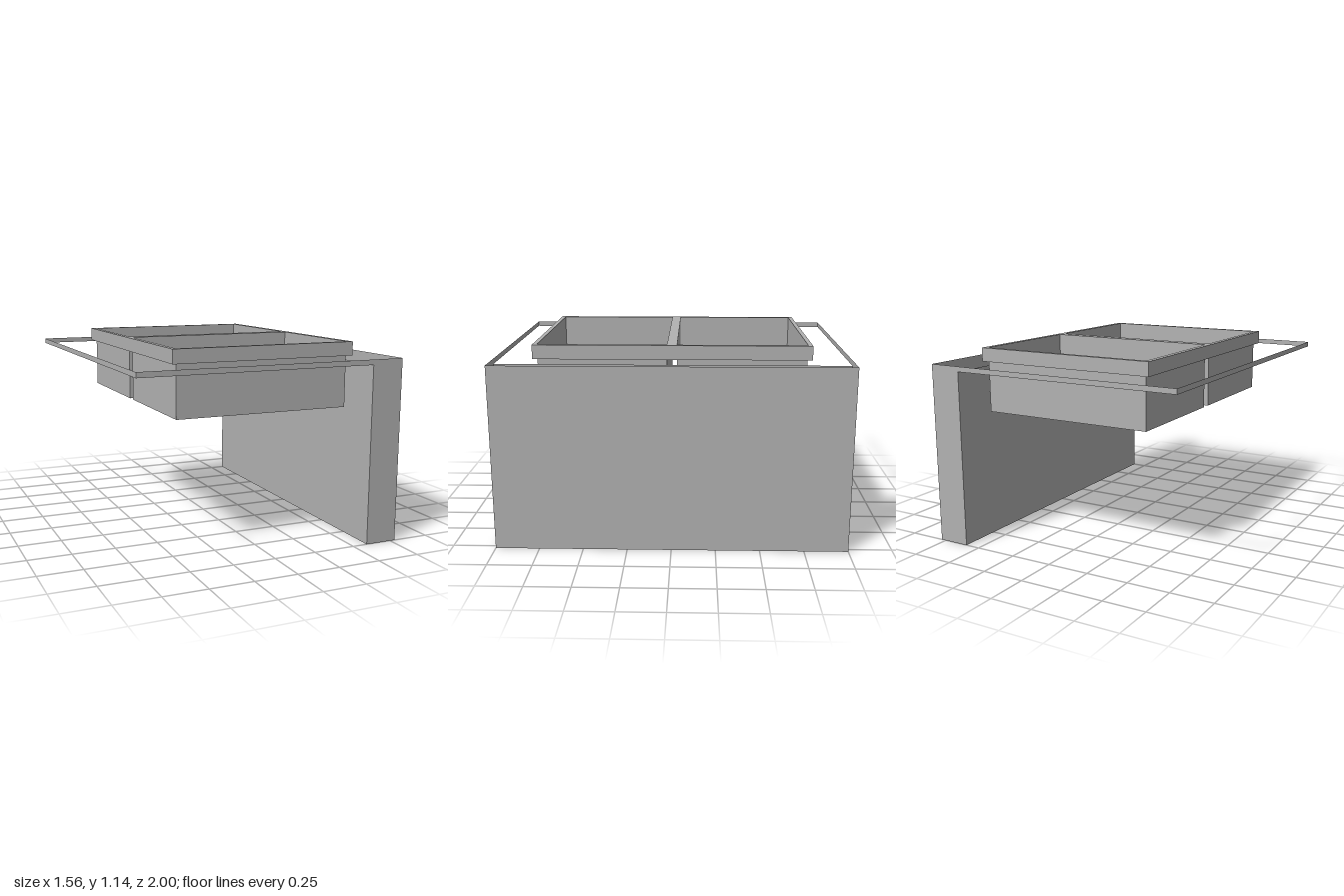
import * as THREE from 'three';

export function createModel() {
  const group = new THREE.Group();
  const grey = new THREE.MeshStandardMaterial({ color: 0xb2b2b2, side: THREE.DoubleSide });
  grey.name = 'plain grey';

  const add = (name, geometry, parent = group) => {
    const mesh = new THREE.Mesh(geometry, grey);
    mesh.name = name;
    parent.add(mesh);
    return mesh;
  };
  // Thin sheet facing x, y or z
  const sheet = (name, axis, w, h, x, y, z, parent = group) => {
    const g = new THREE.PlaneGeometry(w, h);
    if (axis === 'x') g.rotateY(Math.PI / 2);
    if (axis === 'y') g.rotateX(-Math.PI / 2);
    add(name, g, parent).position.set(x, y, z);
  };
  const rectPoints = (x0, y0, x1, y1) => [[x0, y0], [x1, y0], [x1, y1], [x0, y1]]
    .map(([x, y]) => new THREE.Vector2(x, y));

  const X = 0.78, legX = 0.59, top = 1.06, under = 1.03;

  // Open counter shell: L-shaped front and back faces with an upright end leg
  const counter = new THREE.Group();
  counter.name = 'counter';
  group.add(counter);
  const profile = new THREE.Shape([[-X, under], [legX, under], [legX, 0], [X, 0], [X, top], [-X, top]]
    .map(([x, y]) => new THREE.Vector2(x, y)));
  for (const s of [1, -1]) {
    const g = new THREE.ShapeGeometry(profile);
    add(s > 0 ? 'counterFront' : 'counterBack', g, counter).position.z = s;
  }
  sheet('counterEdge', 'x', 2, top - under, -X, (top + under) / 2, 0, counter);
  sheet('legOuterFace', 'x', 2, top, X, top / 2, 0, counter);
  sheet('legInnerFace', 'x', 2, under, legX, under / 2, 0, counter);
  sheet('legBase', 'y', X - legX, 2, (X + legX) / 2, 0, 0, counter);

  // Sink rim with two rectangular openings
  const bx0 = -0.477, bx1 = 0.567, bz0 = 0.028, bz1 = 0.755, floor = 0.76;
  const rim = new THREE.Shape(rectPoints(-0.505, -0.78, 0.595, 0.78));
  for (const [a, b] of [[bz0, bz1], [-bz1, -bz0]]) {
    rim.holes.push(new THREE.Path(rectPoints(bx0, a, bx1, b).reverse()));
  }
  const rimGeometry = new THREE.ExtrudeGeometry(rim, { depth: 0.08, bevelEnabled: false });
  rimGeometry.rotateX(-Math.PI / 2);
  add('sinkRim', rimGeometry).position.y = top;

  // Two thin-walled basins hanging below the rim
  const cx = (bx0 + bx1) / 2, cz = (bz0 + bz1) / 2;
  const w = bx1 - bx0, d = bz1 - bz0, h = top - floor, cy = (top + floor) / 2;
  for (const s of [1, -1]) {
    const basin = new THREE.Group();
    basin.name = s > 0 ? 'frontBasin' : 'backBasin';
    basin.position.set(cx, 0, s * cz);
    group.add(basin);
    sheet('basinFloor', 'y', w, d, 0, floor, 0, basin);
    for (const t of [1, -1]) {
      sheet('basinSide', 'x', d, h, t * w / 2, cy, 0, basin);
      sheet('basinEnd', 'z', w, h, 0, cy, t * d / 2, basin);
    }
  }
  return group;
}
